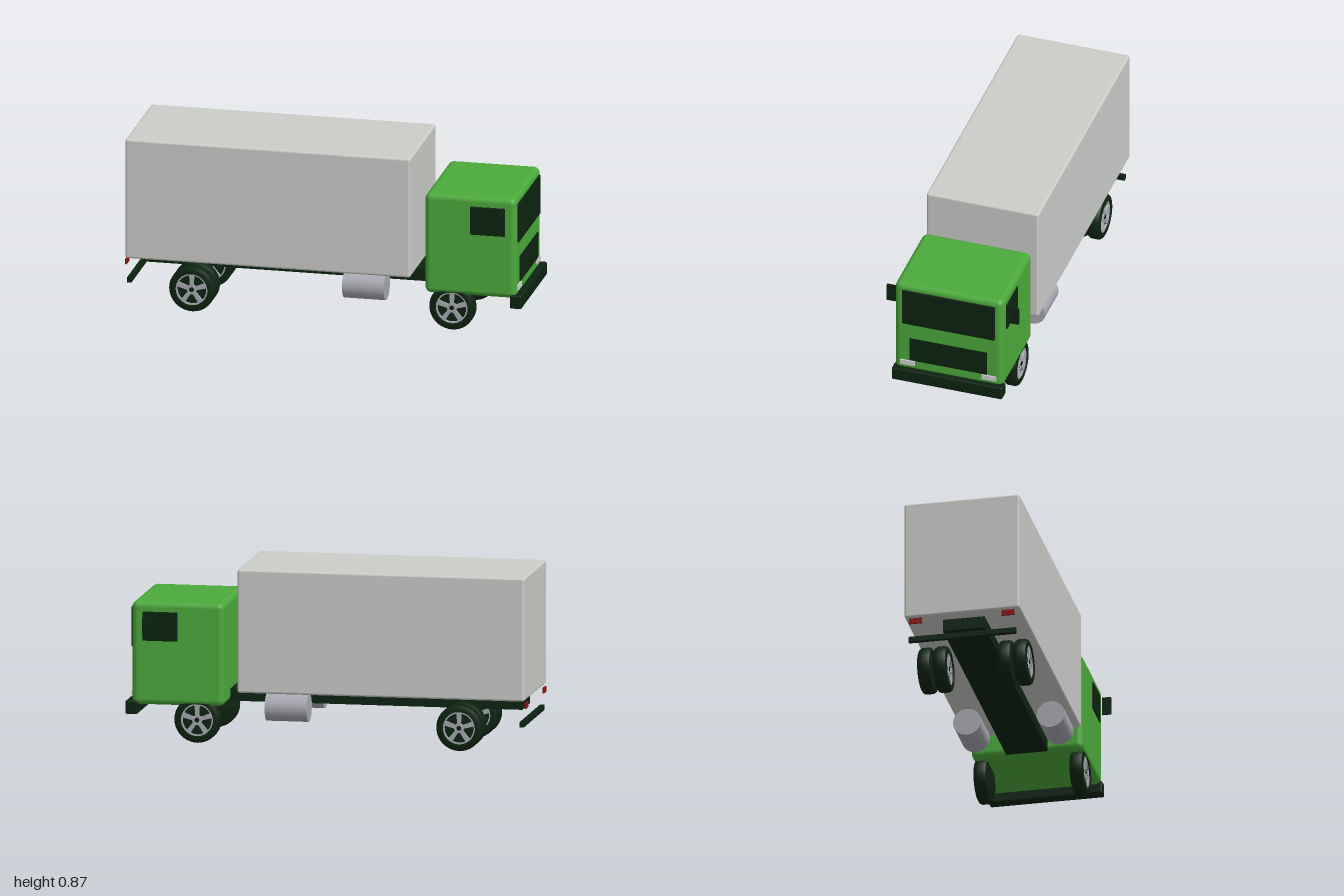
import * as THREE from 'three';
import { toCreasedNormals } from 'three/addons/utils/BufferGeometryUtils.js';
import { RoundedBoxGeometry } from 'three/addons/geometries/RoundedBoxGeometry.js';

const material = (name, color) => {
  const m = new THREE.MeshStandardMaterial({ color });
  m.name = name;
  return m;
};

export function createModel() {
  const green = material('cab green', 0x4caa3b);
  const boxGrey = material('cargo grey', 0xcbcdc9);
  const dark = material('dark green black', 0x0d2411);
  const metal = material('metal grey', 0xa9aab2);
  const lamp = material('lamp white', 0xd2d2d2);
  const red = material('tail light red', 0x8c1414);

  const truck = new THREE.Group();
  truck.name = 'truck';

  const add = (name, geometry, mat, parent = truck) => {
    const mesh = new THREE.Mesh(geometry, mat);
    mesh.name = name;
    parent.add(mesh);
    return mesh;
  };

  // Box given by its limits on each axis, rounded when radius is set
  const block = (name, mat, [x0, x1], [y0, y1], [z0, z1], radius = 0) => {
    const size = [x1 - x0, y1 - y0, z1 - z0];
    const geometry = radius
      ? new RoundedBoxGeometry(...size, 4, radius)
      : new THREE.BoxGeometry(...size);
    add(name, geometry, mat).position.set((x0 + x1) / 2, (y0 + y1) / 2, (z0 + z1) / 2);
  };

  // Body
  block('cargoBox', boxGrey, [-0.995, 0.44], [0.26, 0.875], [-0.29, 0.29], 0.012);
  block('cab', green, [0.51, 0.97], [0.185, 0.70], [-0.28, 0.28], 0.03);
  block('chassis', dark, [-0.95, 0.75], [0.19, 0.25], [-0.105, 0.105]);

  // Cab front
  block('windshield', dark, [0.969, 0.978], [0.467, 0.667], [-0.24, 0.24], 0.004);
  block('grille', dark, [0.969, 0.977], [0.255, 0.383], [-0.2, 0.2]);
  block('frontBumper', dark, [0.94, 1.0], [0.137, 0.205], [-0.286, 0.286], 0.008);

  // Rear underrun bar
  block('rearBar', dark, [-0.99, -0.968], [0.13, 0.156], [-0.27, 0.27]);

  // Paired details on both sides
  for (const s of [1, -1]) {
    const span = (a, b) => (s > 0 ? [a, b] : [-b, -a]);
    block('sideWindow', dark, [0.74, 0.915], [0.505, 0.65], span(0.277, 0.285), 0.003);
    block('mirror', dark, [0.895, 0.907], [0.54, 0.63], span(0.295, 0.341));
    block('headlight', lamp, [0.968, 0.977], [0.223, 0.249], span(0.173, 0.248));
    block('tailLight', red, [-1.0, -0.992], [0.222, 0.25], span(0.2, 0.265));

    const tank = add('fuelTank', new THREE.CylinderGeometry(0.07, 0.07, 0.21, 32), metal);
    tank.rotation.z = Math.PI / 2;
    tank.position.set(0.2, 0.185, s * 0.21);
  }

  // Tyre cross-section with a recessed outer face
  const profile = [
    [0, -0.034], [0.098, -0.034], [0.109, -0.029], [0.115, -0.018], [0.115, 0.018],
    [0.109, 0.029], [0.098, 0.034], [0.081, 0.034], [0.079, 0.016], [0, 0.016],
  ].map(([r, y]) => new THREE.Vector2(r, y));
  const tyreGeometry = toCreasedNormals(new THREE.LatheGeometry(profile, 40), 0.6);
  tyreGeometry.rotateX(Math.PI / 2);

  // Rim: disc with five wedge openings between the spokes
  const rimShape = new THREE.Shape().absarc(0, 0, 0.08, 0, Math.PI * 2);
  for (let i = 0; i < 5; i++) {
    const a = Math.PI / 2 + ((i + 0.5) * Math.PI * 2) / 5;
    const hole = new THREE.Path();
    hole.absarc(0, 0, 0.073, a - 0.46, a + 0.46, false);
    hole.lineTo(Math.cos(a + 0.25) * 0.025, Math.sin(a + 0.25) * 0.025);
    hole.lineTo(Math.cos(a - 0.25) * 0.025, Math.sin(a - 0.25) * 0.025);
    hole.closePath();
    rimShape.holes.push(hole);
  }
  const rimGeometry = new THREE.ExtrudeGeometry(rimShape, {
    depth: 0.012, bevelEnabled: false, curveSegments: 24,
  });
  const hubGeometry = new THREE.CylinderGeometry(0.012, 0.012, 0.004, 16).rotateX(Math.PI / 2);

  const addWheel = (name, x, z, facing) => {
    const wheel = new THREE.Group();
    wheel.name = name;
    add('tyre', tyreGeometry, dark, wheel);
    add('rim', rimGeometry, metal, wheel).position.z = 0.016;
    add('hubCap', hubGeometry, dark, wheel).position.z = 0.028;
    wheel.position.set(x, 0.116, z);
    wheel.rotation.y = facing > 0 ? 0 : Math.PI;
    truck.add(wheel);
  };

  // Single front wheels and double rear wheels
  for (const s of [1, -1]) {
    addWheel('frontWheel', 0.645, s * 0.241, s);
    addWheel('rearOuterWheel', -0.665, s * 0.241, s);
    addWheel('rearInnerWheel', -0.665, s * 0.162, -s);
  }

  return truck;
}
